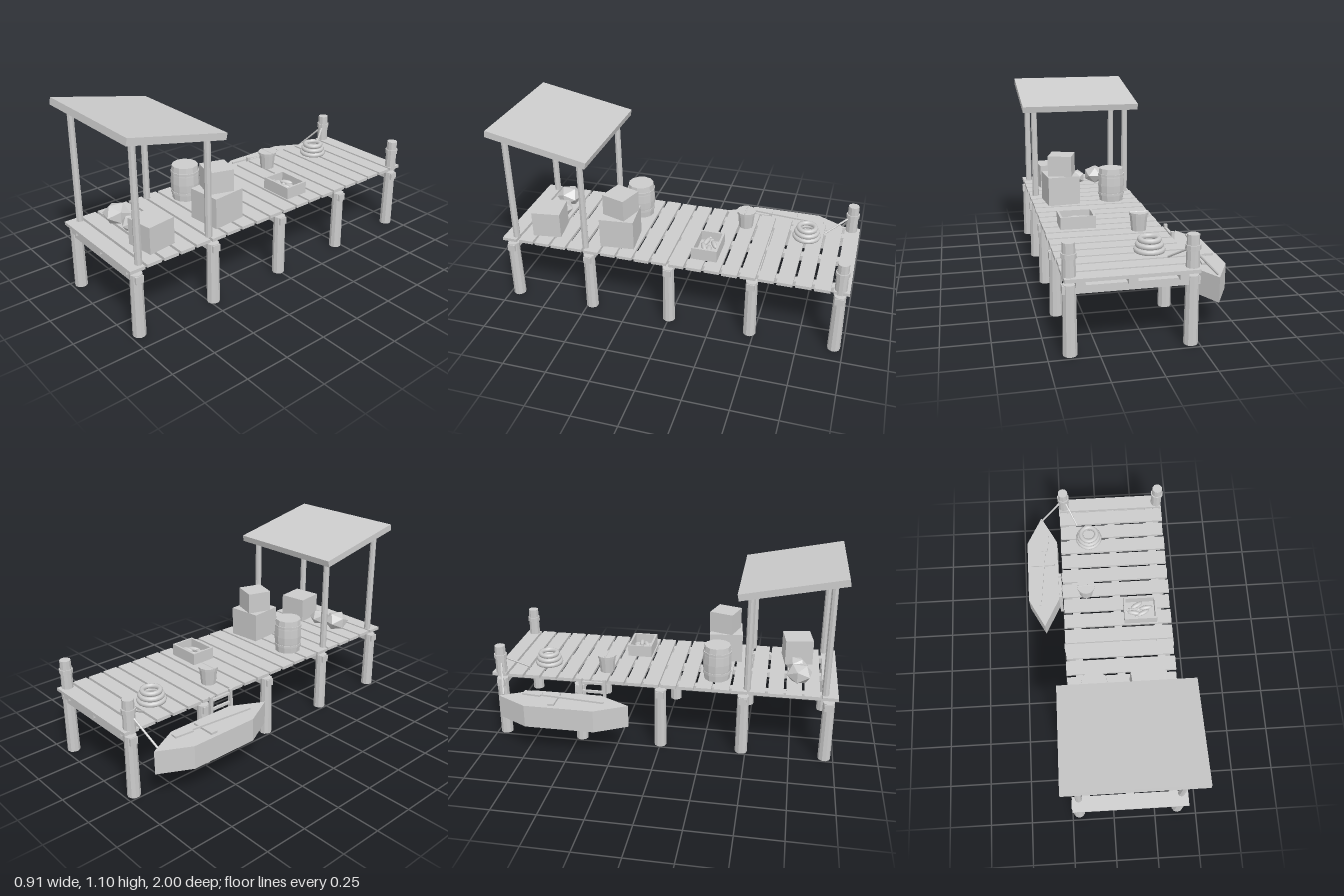
import * as THREE from 'three';

export function createModel() {
  const root = new THREE.Group();
  const mat = new THREE.MeshStandardMaterial({ color: 0xcccccc, flatShading: true });
  const smooth = new THREE.MeshStandardMaterial({ color: 0xcccccc });

  const add = (name, geo, x, y, z, m = mat, parent = root) => {
    const mesh = new THREE.Mesh(geo, m);
    mesh.name = name;
    mesh.position.set(x, y, z);
    parent.add(mesh);
    return mesh;
  };
  const box = (name, w, h, d, x, y, z, parent) =>
    add(name, new THREE.BoxGeometry(w, h, d), x, y, z, mat, parent);
  const cyl = (name, rt, rb, h, x, y, z, sides = 10, parent) =>
    add(name, new THREE.CylinderGeometry(rt, rb, h, sides), x, y, z, mat, parent);
  // Thin round bar between two points
  const bar = (name, a, b, r, parent) => {
    const from = new THREE.Vector3(...a), to = new THREE.Vector3(...b);
    const mid = from.clone().add(to).multiplyScalar(0.5);
    const mesh = cyl(name, r, r, from.distanceTo(to), mid.x, mid.y, mid.z, 6, parent);
    mesh.quaternion.setFromUnitVectors(new THREE.Vector3(0, 1, 0), to.sub(from).normalize());
    return mesh;
  };
  const group = (name) => {
    const g = new THREE.Group();
    g.name = name;
    root.add(g);
    return g;
  };

  const cx = 0.09;           // centre line of the pier
  const pileX = [-0.21, 0.389];

  // Deck planks with slightly uneven lengths
  const deck = group('deck');
  for (let i = 0; i < 20; i++) {
    const wobble = 0.004 * Math.sin(i * 2.4);
    box('plank', 0.656 + wobble, 0.018, 0.086, cx, 0.391, -0.957 + i * 0.1007, deck);
  }
  for (const x of [-0.16, cx, 0.34]) box('stringer', 0.046, 0.032, 1.98, x, 0.368, 0, deck);

  // Piles and crossbeams
  const supports = group('supports');
  for (const z of [-0.95, -0.475, 0, 0.475, 0.95]) {
    for (const x of pileX) cyl('pile', 0.033, 0.036, 0.36, x, 0.18, z, 10, supports);
    box('crossbeam', 0.67, 0.04, 0.045, cx, 0.336, z, supports);
  }

  // Mooring posts with bands at the far end
  for (const x of pileX) {
    cyl('mooringPost', 0.031, 0.034, 0.185, x, 0.4725, -0.95);
    cyl('mooringBand', 0.038, 0.038, 0.025, x, 0.501, -0.95);
  }

  // Shelter: four posts, a tie beam and a sloping roof
  const shelter = group('shelter');
  for (const x of [-0.202, 0.381]) {
    cyl('frontRoofPost', 0.018, 0.02, 0.65, x, 0.725, 0.927, 8, shelter);
    cyl('backRoofPost', 0.018, 0.02, 0.565, x, 0.6825, 0.495, 8, shelter);
  }
  box('roofBeam', 0.57, 0.022, 0.02, cx, 0.967, 0.495, shelter);
  box('roof', 0.73, 0.038, 0.58, cx, 1.0225, 0.7125, shelter).rotation.x = -0.2;

  // Crates
  box('lowerCrate', 0.196, 0.175, 0.196, 0.242, 0.4875, 0.33).rotation.y = 0.1;
  box('upperCrate', 0.145, 0.125, 0.145, 0.235, 0.6375, 0.325).rotation.y = -0.31;
  box('frontCrate', 0.165, 0.15, 0.165, 0.256, 0.475, 0.765).rotation.y = 0.14;

  // Barrel with two hoops
  const barrel = group('barrel');
  barrel.position.set(-0.077, 0.4, 0.31);
  const profile = [[0, 0], [0.075, 0], [0.081, 0.06], [0.083, 0.1], [0.081, 0.15], [0.075, 0.205], [0, 0.205]];
  add('barrelBody', new THREE.LatheGeometry(profile.map((p) => new THREE.Vector2(...p)), 12), 0, 0, 0, mat, barrel);
  for (const y of [0.045, 0.165]) cyl('barrelHoop', 0.083, 0.083, 0.014, 0, y, 0, 12, barrel);

  // Faceted sacks
  const sack = (x, z, rx, ry, turn) => {
    const geo = new THREE.IcosahedronGeometry(1, 0).rotateY(turn).scale(rx, ry, rx);
    add('sack', geo, x, 0.4 + ry * 0.86, z);
  };
  sack(-0.06, 0.78, 0.078, 0.061, 1.4);
  sack(0.073, 0.765, 0.063, 0.05, 1.1);

  // Bucket with rim and handle
  const bucket = group('bucket');
  bucket.position.set(-0.095, 0.4, -0.338);
  cyl('bucketBody', 0.052, 0.042, 0.1, 0, 0.05, 0, 12, bucket);
  cyl('bucketRim', 0.056, 0.055, 0.015, 0, 0.096, 0, 12, bucket);
  bar('bucketHandle', [-0.053, 0.102, 0], [0.053, 0.102, 0], 0.005, bucket);

  // Open tray of fish
  const tray = group('fishTray');
  tray.position.set(0.229, 0.4, -0.188);
  box('trayFloor', 0.2, 0.012, 0.145, 0, 0.006, 0, tray);
  for (const s of [-1, 1]) {
    box('trayLongSide', 0.2, 0.07, 0.012, 0, 0.035, s * 0.067, tray);
    box('trayShortSide', 0.012, 0.07, 0.122, s * 0.094, 0.035, 0, tray);
  }
  const fish = [[-0.02, -0.03, 0.5], [-0.04, 0.018, -0.2], [0.035, -0.012, 0.15], [0.015, 0.022, 0.45]];
  for (const [x, z, turn] of fish) {
    const f = new THREE.Group();
    f.name = 'fish';
    f.position.set(x, 0.035, z);
    f.rotation.y = turn;
    tray.add(f);
    add('fishBody', new THREE.SphereGeometry(1, 10, 6).scale(0.042, 0.014, 0.015), 0, 0, 0, smooth, f);
    const tail = add('fishTail', new THREE.ConeGeometry(0.012, 0.02, 4).scale(1, 1, 0.5), -0.044, 0, 0, mat, f);
    tail.rotation.set(Math.PI / 2, 0, -Math.PI / 2);
  }

  // Coiled rope
  [[0.068, 0.415], [0.06, 0.442], [0.049, 0.468]].forEach(([r, y]) => {
    add('ropeCoil', new THREE.TorusGeometry(r, 0.0145, 8, 20).rotateX(Math.PI / 2), -0.06, y, -0.705, smooth);
  });

  // Mooring ropes from the post
  bar('boatRope', [-0.21, 0.49, -0.95], [-0.362, 0.325, -0.89], 0.006);
  bar('deckRope', [-0.21, 0.5, -0.95], [-0.13, 0.404, -0.805], 0.006);

  // Ladder beside the deck
  const ladder = group('ladder');
  for (const z of [-0.318, -0.458]) box('ladderRail', 0.018, 0.245, 0.018, -0.256, 0.2925, z, ladder);
  for (const y of [0.205, 0.27, 0.335, 0.39]) box('ladderRung', 0.014, 0.014, 0.14, -0.256, y, -0.388, ladder);

  // Rowing boat: pointed hull, bench and oar
  const boat = group('boat');
  boat.position.set(-0.363, 0, -0.537);
  const outline = [[0, 0.38], [-0.096, 0.2], [-0.096, -0.2], [0, -0.38], [0.096, -0.2], [0.096, 0.2]];
  const hull = new THREE.ExtrudeGeometry(new THREE.Shape(outline.map((p) => new THREE.Vector2(...p))),
    { depth: 0.133, bevelEnabled: false }).rotateX(-Math.PI / 2);
  add('hull', hull, 0, 0.185, 0, mat, boat);
  box('bench', 0.145, 0.014, 0.038, 0, 0.323, -0.05, boat);
  const oar = new THREE.Group();
  oar.name = 'oar';
  oar.position.set(0, 0.338, 0.01);
  oar.rotation.y = -0.1;
  boat.add(oar);
  box('oarShaft', 0.013, 0.01, 0.38, 0, 0, 0.045, oar);
  box('oarBlade', 0.04, 0.01, 0.11, 0, 0, -0.195, oar);

  return root;
}
